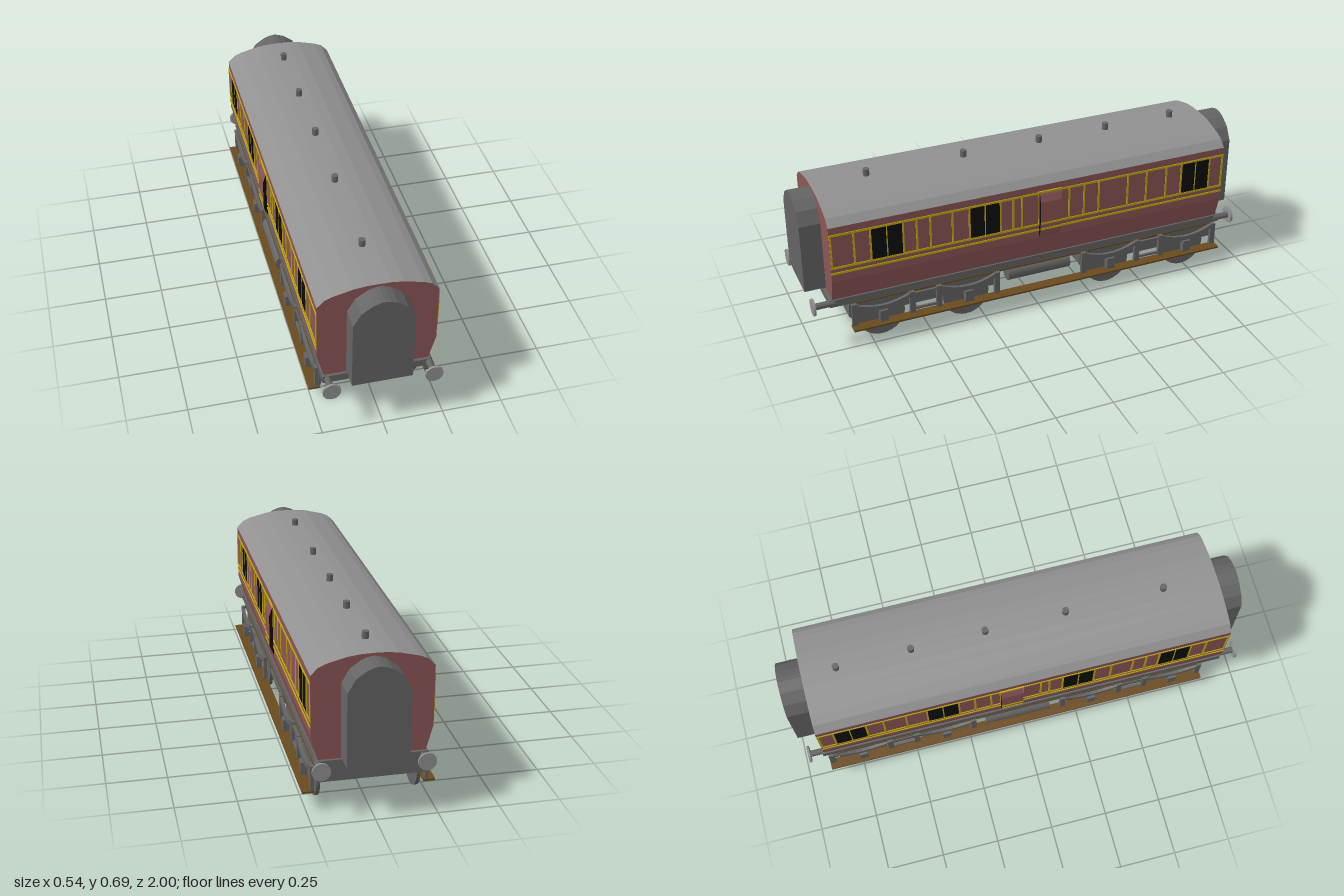
import * as THREE from 'three';

const mat = (name, color) => {
  const m = new THREE.MeshStandardMaterial({ color });
  m.name = name;
  return m;
};

export function createModel() {
  const root = new THREE.Group();
  root.name = 'railwayCarriage';
  const maroon = mat('maroon', 0x8b5555);
  const roofGrey = mat('roofGrey', 0x919191);
  const darkGrey = mat('darkGrey', 0x646464);
  const yellow = mat('liningYellow', 0xc4ac0c);
  const black = mat('windowBlack', 0x0c0d0d);
  const brown = mat('footboardBrown', 0x6a4a1e);

  const CX = -0.008;           // body centreline
  const Z0 = -0.898, Z1 = 0.909; // body ends
  const HW = 0.2425;           // body half width

  const add = (name, geo, material, x = 0, y = 0, z = 0) => {
    const m = new THREE.Mesh(geo, material);
    m.name = name;
    m.position.set(x, y, z);
    root.add(m);
    return m;
  };
  // Box given by its limits on each axis
  const box = (name, material, x0, x1, y0, y1, z0, z1) =>
    add(name, new THREE.BoxGeometry(Math.abs(x1 - x0), y1 - y0, Math.abs(z1 - z0)), material,
      (x0 + x1) / 2, (y0 + y1) / 2, (z0 + z1) / 2);
  // Outline in x and y, run along z
  const prism = (name, pts, material, z0, z1) => {
    const shape = new THREE.Shape(pts.map(([x, y]) => new THREE.Vector2(x, y)));
    return add(name, new THREE.ExtrudeGeometry(shape, { depth: z1 - z0, bevelEnabled: false }), material, CX, 0, z0);
  };
  // Right half outline, bottom to top, mirrored to the left
  const mirrored = (half) => [...half, ...half.filter(p => p[0] > 0).reverse().map(([x, y]) => [-x, y])];
  const rodZ = (name, material, r, x, y, z0, z1, sides = 20) =>
    add(name, new THREE.CylinderGeometry(r, r, Math.abs(z1 - z0), sides).rotateX(Math.PI / 2), material, x, y, (z0 + z1) / 2);

  // Body and roof
  prism('body', mirrored([[0.213, 0.222], [0.22, 0.25], [HW, 0.33], [HW, 0.585]]), maroon, Z0, Z1);
  prism('roof', mirrored([[HW, 0.585], [0.2125, 0.615], [0.18, 0.629], [0.1, 0.649], [0.05, 0.655], [0, 0.656]]),
    [maroon, roofGrey], Z0, Z1);
  for (const z of [-0.75, -0.43, -0.11, 0.24, 0.67])
    add('roofVent', new THREE.CylinderGeometry(0.014, 0.014, 0.05, 12), darkGrey, -0.011, 0.66, z);

  // End gangways
  const arch = mirrored([[0.124, 0.235], [0.124, 0.545], [0.092, 0.601], [0.048, 0.632], [0.02, 0.642], [0, 0.645]]);
  prism('frontGangway', arch, darkGrey, Z1, 1);
  prism('backGangway', arch, darkGrey, -1, Z0);

  // Underframe
  box('underframe', darkGrey, CX - 0.222, CX + 0.222, 0.195, 0.228, Z0 - 0.012, Z1 + 0.012);

  // Buffers
  for (const x of [-0.21, 0.207]) {
    rodZ('frontBufferShaft', darkGrey, 0.014, x, 0.213, 0.9, 0.99, 12);
    rodZ('frontBufferHead', roofGrey, 0.037, x, 0.213, 0.985, 0.995, 24);
    rodZ('backBufferShaft', darkGrey, 0.014, x, 0.213, -0.89, -0.965, 12);
    rodZ('backBufferHead', roofGrey, 0.037, x, 0.213, -0.962, -0.972, 24);
  }

  // Side lining, windows and lookouts
  const lines = [0.904, 0.807, 0.737, 0.598, 0.539, 0.48, 0.383, 0.308, 0.169, 0.11, 0.072, -0.008,
    -0.105, -0.147, -0.217, -0.287, -0.426, -0.517, -0.614, -0.689, -0.829, -0.893];
  const windows = [[0.598, 0.737], [0.169, 0.308], [-0.829, -0.689]];
  for (const s of [1, -1]) {
    const plate = (name, material, t, y0, y1, z0, z1, from = HW) =>
      box(name, material, CX + s * (from - 0.002), CX + s * (from + t), y0, y1, z0, z1);
    for (const y of [0.549, 0.396, 0.37]) plate('liningBand', yellow, 0.003, y - 0.0045, y + 0.0045, Z0, Z1);
    for (const z of lines) plate('liningUpright', yellow, 0.003, 0.396, 0.549, z - 0.004, z + 0.004);
    const panes = s < 0 ? [...windows, [-0.426, -0.287]] : windows;
    for (const [a, b] of panes) {
      plate('window', black, 0.002, 0.401, 0.544, a + 0.004, b - 0.004);
      plate('windowBar', yellow, 0.003, 0.401, 0.544, (a + b) / 2 - 0.0025, (a + b) / 2 + 0.0025);
    }
    // Guard's lookout with dark ends
    const bulge = [[0.232, 0.325], [HW, 0.332], [0.25, 0.347], [0.2605, 0.375], [0.2605, 0.51], [0.251, 0.54], [HW, 0.557], [0.232, 0.557]];
    prism('guardLookout', bulge.map(([x, y]) => [s * x, y]), [black, maroon], -0.105, -0.008);
    for (const y of [0.407, 0.38]) plate('lookoutBand', yellow, 0.002, y - 0.0045, y + 0.0045, -0.105, -0.008, 0.2605);
    plate('lookoutTopBand', yellow, 0.006, 0.549, 0.557, -0.109, -0.004);
  }

  // Bogies
  const spring = new THREE.Shape();
  spring.moveTo(-0.125, 0.195);
  spring.quadraticCurveTo(0, 0.135, 0.125, 0.195);
  spring.lineTo(0.125, 0.178);
  spring.quadraticCurveTo(0, 0.108, -0.125, 0.178);
  const springGeo = new THREE.ExtrudeGeometry(spring, { depth: 0.014, bevelEnabled: false, curveSegments: 8 })
    .translate(0, 0, -0.007).rotateY(-Math.PI / 2);
  const wheelGeo = new THREE.CylinderGeometry(0.104, 0.104, 0.015, 32).rotateZ(Math.PI / 2);
  const bogies = [
    { frame: [0.18, 0.84], wheels: [0.7, 0.318], posts: [0.823, 0.57, 0.45, 0.185] },
    { frame: [-0.88, -0.22], wheels: [-0.355, -0.738], posts: [-0.228, -0.49, -0.61, -0.877] },
  ];
  for (const { frame, wheels, posts } of bogies) {
    box('bogieFrame', darkGrey, -0.225, 0.205, 0.12, 0.18, ...frame);
    for (const z of wheels) for (const x of [-0.2145, 0.1925]) add('wheel', wheelGeo, darkGrey, x, 0.104, z);
    for (const s of [1, -1]) {
      const X = (d) => -0.003 + s * d;
      for (const z of wheels) {
        add('leafSpring', springGeo, darkGrey, X(0.231), 0, z);
        box('axleBox', darkGrey, X(0.222), X(0.249), 0.09, 0.145, z - 0.018, z + 0.018);
      }
      for (const z of posts) box('bogiePost', darkGrey, X(0.222), X(0.237), 0.09, 0.196, z - 0.012, z + 0.012);
      box('bogieTie', darkGrey, X(0.224), X(0.234), 0.178, 0.188, posts[1], posts[2]);
      box('bogieLowerTie', darkGrey, X(0.224), X(0.234), 0.104, 0.114, posts[1], posts[2]);
    }
  }

  // Tanks between the bogies
  for (const x of [-0.213, 0.178]) rodZ('tank', darkGrey, 0.036, x, 0.152, -0.17, 0.122, 20);

  // Footboards
  for (const s of [1, -1]) {
    box('lowerFootboard', brown, s * 0.219, s * 0.267, 0.084, 0.092, -0.893, 0.838);
    box('upperFootboard', brown, CX + s * 0.2, CX + s * 0.224, 0.188, 0.195, -0.88, 0.838);
  }
  return root;
}
